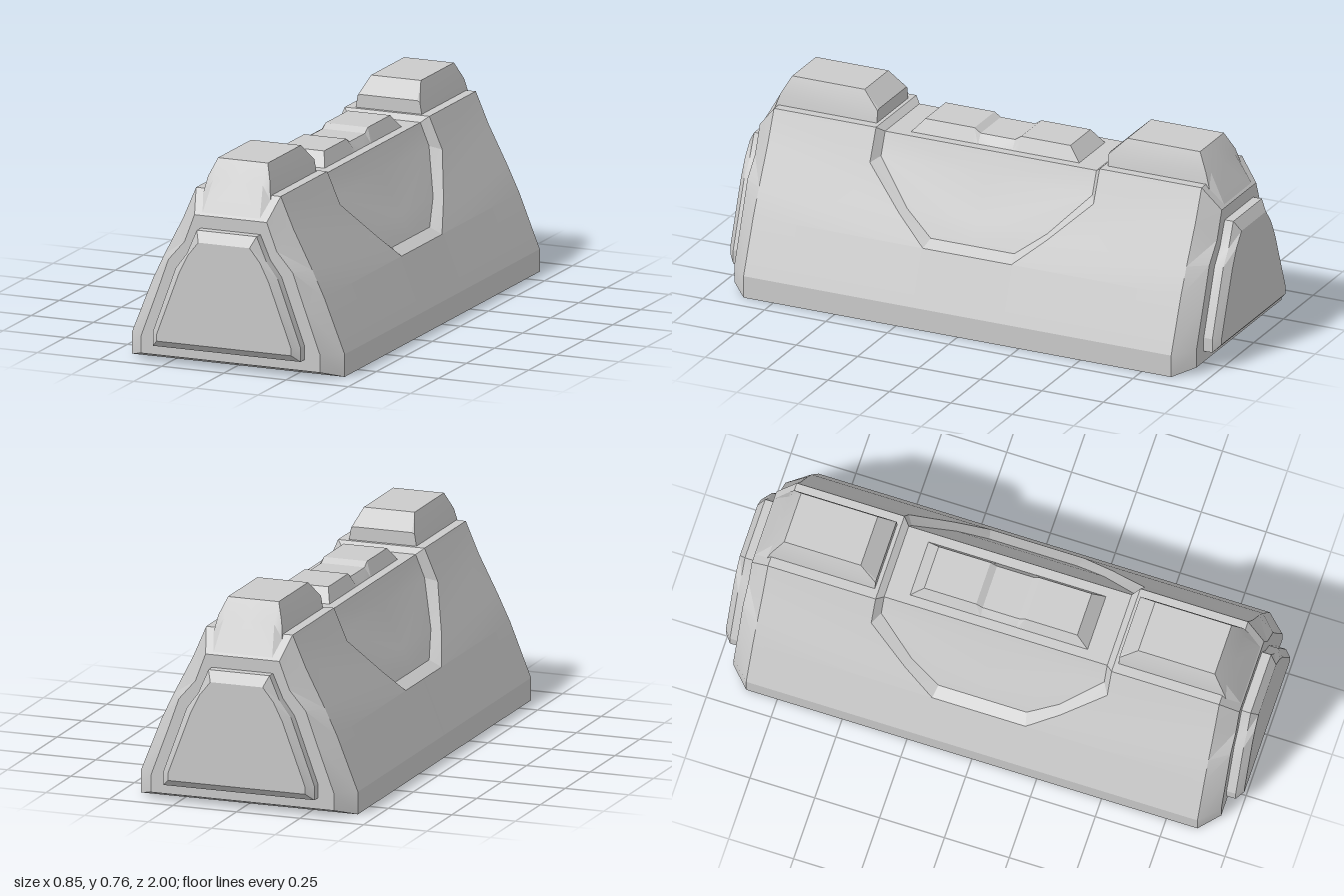
import * as THREE from 'three';
import { toCreasedNormals } from 'three/addons/utils/BufferGeometryUtils.js';

const material = new THREE.MeshStandardMaterial({ color: 0xcccccc });

// Places a flat [x, y] profile at depth z (one value, or one per point).
const at = (profile, z) =>
  profile.map(([x, y], i) => new THREE.Vector3(x, y, Array.isArray(z) ? z[i] : z));
// The same row of points, moved onto one of the symmetry planes.
const onPlane = (row, axis) => row.map((p) => p.clone().setComponent(axis, 0));

// Skins neighbouring rows of each chain, then mirrors the quarter in x and z.
function quarterMesh(name, chains) {
  const tris = [];
  const addTri = (a, b, c) => {
    if (new THREE.Triangle(a, b, c).getArea() > 1e-8) tris.push([a, b, c]);
  };
  for (const rows of chains) {
    for (let r = 0; r + 1 < rows.length; r++) {
      const a = rows[r], b = rows[r + 1];
      for (let i = 0; i + 1 < a.length; i++) {
        addTri(a[i], a[i + 1], b[i + 1]);
        addTri(a[i], b[i + 1], b[i]);
      }
    }
  }
  const positions = [];
  for (const sx of [1, -1]) {
    for (const sz of [1, -1]) {
      for (const [a, b, c] of tris) {
        const order = sx * sz > 0 ? [a, b, c] : [a, c, b];
        for (const p of order) positions.push(p.x * sx, p.y, p.z * sz);
      }
    }
  }
  const geometry = new THREE.BufferGeometry();
  geometry.setAttribute('position', new THREE.Float32BufferAttribute(positions, 3));
  const mesh = new THREE.Mesh(toCreasedNormals(geometry, 0.3), material);
  mesh.name = name;
  return mesh;
}

// Tapered body with bevelled ends and a scooped recess on each flank
function makeBody() {
  const profile = [[0, 0], [0.427, 0], [0.427, 0.085], [0.345, 0.29],
    [0.297, 0.39], [0.222, 0.535], [0.17, 0.655], [0, 0.655]];
  const capProfile = [[0, 0.025], [0.36, 0.025], [0.36, 0.09], [0.293, 0.27],
    [0.25, 0.39], [0.185, 0.465], [0.145, 0.57], [0, 0.57]];
  const shoulder = at(profile, 0.87);
  const cap = at(capProfile, 0.94);

  const upper = profile.slice(3);
  const notch = at(upper, [0.18, 0.3, 0.455, 0.455, 0.455]);
  const floor = at([[0.3, 0.315], [0.262, 0.4], [0.18, 0.55], [0.145, 0.635], [0, 0.635]],
    [0.17, 0.285, 0.43, 0.43, 0.43]);
  const lowerShoulder = shoulder.slice(0, 4);

  return quarterMesh('body', [
    [onPlane(lowerShoulder, 2), lowerShoulder],
    [notch, shoulder.slice(3)],
    [shoulder, cap, onPlane(cap, 0)],
    // recess floor and its bevelled rim
    [onPlane(floor, 2), floor],
    [[onPlane(floor, 2)[0], ...floor], [onPlane(notch, 2)[0], ...notch]],
  ]);
}

// Raised stepped panel on each end
function makeEndPanels() {
  const outer = [[0, 0.067], [0.297, 0.067], [0.297, 0.12], [0.205, 0.37],
    [0.16, 0.43], [0.12, 0.522], [0, 0.522]];
  const inner = [[0, 0.093], [0.27, 0.093], [0.27, 0.12], [0.18, 0.36],
    [0.145, 0.43], [0.103, 0.482], [0, 0.482]];
  const face = at(inner, 1);
  return quarterMesh('endPanels', [
    [at(outer, 0.93), at(outer, 0.975), face, onPlane(face, 0)],
  ]);
}

// Faceted block on top of each end, its nose running down the end bevel
function makeTopBlocks() {
  const section = [[0.135, 0.64], [0.125, 0.7], [0.1, 0.765], [0, 0.765]];
  const back = at([[0.135, 0.64], [0.125, 0.7], [0.115, 0.705], [0, 0.705]], 0.47);
  const nose = at([[0.115, 0.58], [0.1, 0.69], [0.1, 0.765], [0, 0.765]],
    [0.935, 0.875, 0.83, 0.83]);
  return quarterMesh('topBlocks', [
    [onPlane(back, 0), back, at(section, 0.535),
      at(section, [0.885, 0.865, 0.83, 0.83]), nose, onPlane(nose, 0)],
  ]);
}

// Low ridge along the middle of the top, dipped at its centre
function makeTopRidge() {
  const section = (top, z) => at([[0.11, 0.632], [0.085, top], [0, top]], z);
  const tip = at([[0.11, 0.632], [0.11, 0.632], [0, 0.632]], 0.345);
  return quarterMesh('topRidge', [
    [section(0.67, 0), section(0.67, 0.07), section(0.687, 0.095),
      section(0.687, 0.295).map((p, i) => (i ? p : p.setZ(0.345))), tip],
  ]);
}

export function createModel() {
  const model = new THREE.Group();
  model.name = 'barrierBlock';
  model.add(makeBody(), makeEndPanels(), makeTopBlocks(), makeTopRidge());
  return model;
}
